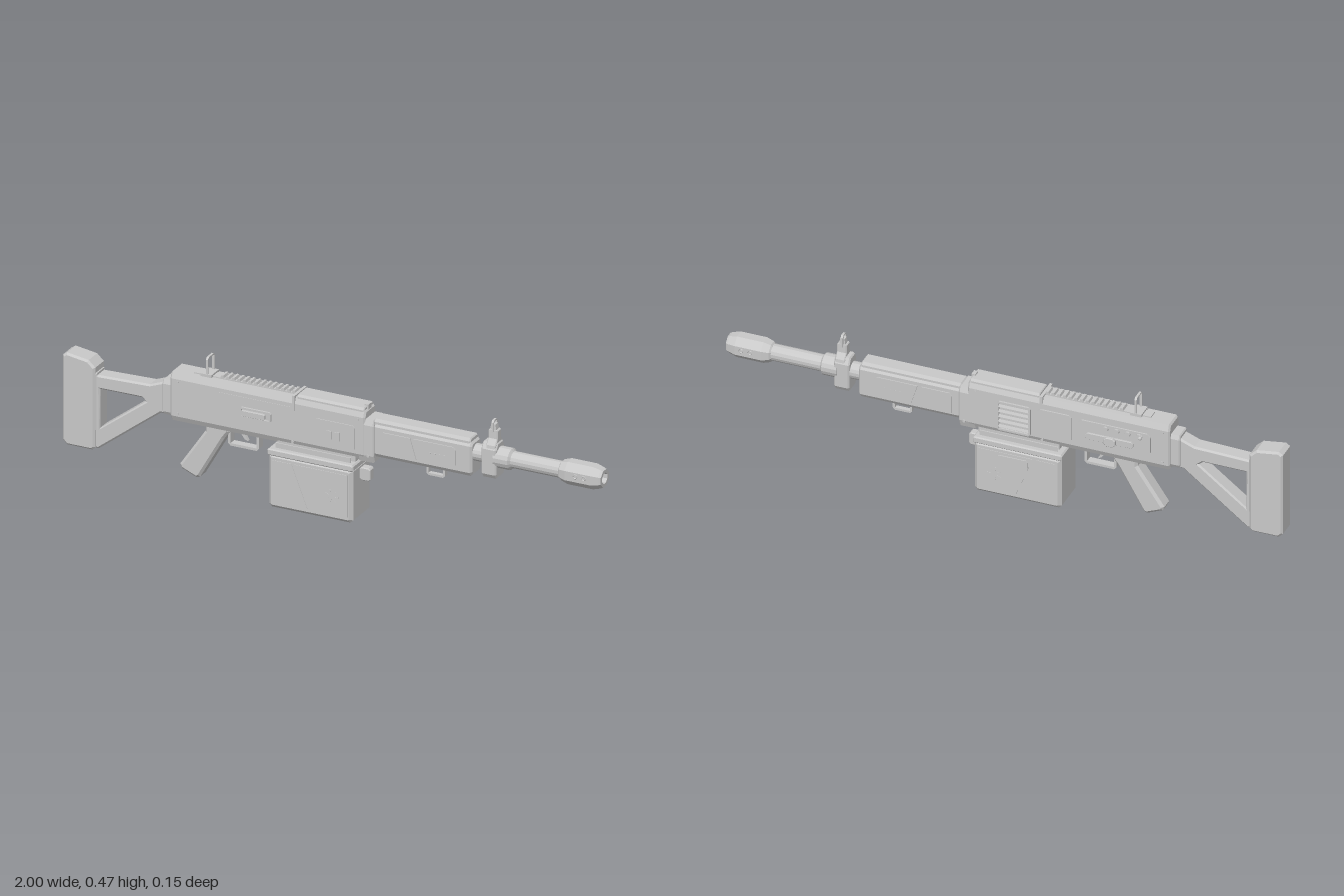
import * as THREE from 'three';

export function createModel() {
  const root = new THREE.Group();
  const grey = new THREE.MeshStandardMaterial({ color: 0xc8c8c8, flatShading: true });
  grey.name = 'plain grey';

  const add = (name, geo, x = 0, y = 0, z = 0) => {
    const m = new THREE.Mesh(geo, grey);
    m.name = name;
    m.position.set(x, y, z);
    root.add(m);
    return m;
  };
  const poly = (pts, T = THREE.Shape) => new T(pts.map(p => new THREE.Vector2(p[0], p[1])));
  // side outline extruded across z, with chamfered rims
  const slab = (name, pts, half, bevel = 0, holes = [], z = 0) => {
    const s = poly(pts);
    holes.forEach(h => s.holes.push(poly(h, THREE.Path)));
    const g = new THREE.ExtrudeGeometry(s, {
      depth: 2 * (half - bevel), bevelEnabled: bevel > 0, bevelThickness: bevel,
      bevelSize: bevel, bevelOffset: -bevel, bevelSegments: 1, curveSegments: 6,
    });
    g.translate(0, 0, -half + bevel);
    return add(name, g, 0, 0, z);
  };
  // symmetric section of [z, y] points extruded along x
  const bar = (name, right, x0, x1, bevel = 0, hole) => {
    const s = poly([...right, ...right.map(p => [-p[0], p[1]]).reverse()]);
    if (hole) s.holes.push(poly(hole, THREE.Path));
    const g = new THREE.ExtrudeGeometry(s, {
      depth: x1 - x0 - 2 * bevel, bevelEnabled: bevel > 0, bevelThickness: bevel,
      bevelSize: bevel, bevelOffset: -bevel, bevelSegments: 1,
    });
    g.rotateY(Math.PI / 2);
    return add(name, g, x0 + bevel, 0, 0);
  };
  const box = (name, x0, x1, y0, y1, z0, z1) =>
    add(name, new THREE.BoxGeometry(x1 - x0, y1 - y0, z1 - z0), (x0 + x1) / 2, (y0 + y1) / 2, (z0 + z1) / 2);
  const rect = (x0, x1, y0, y1, c = 0) => c
    ? [[x0 + c, y0], [x1 - c, y0], [x1, y0 + c], [x1, y1 - c], [x1 - c, y1], [x0 + c, y1], [x0, y1 - c], [x0, y0 + c]]
    : [[x0, y0], [x1, y0], [x1, y1], [x0, y1]];
  const frame = (name, x0, x1, y0, y1, t, half, z = 0) =>
    slab(name, rect(x0, x1, y0, y1, t), half, 0, [rect(x0 + t, x1 - t, y0 + t, y1 - t)], z);
  // turned part along x: [x, radius] points
  const turned = (name, pts, sides) => {
    const g = new THREE.LatheGeometry(pts.map(p => new THREE.Vector2(p[1], p[0])), sides, Math.PI / sides);
    g.rotateZ(-Math.PI / 2);
    return add(name, g, 0, 0.327, 0);
  };
  const knob = (name, x, y, z, r, h) =>
    add(name, new THREE.CylinderGeometry(r, r, h, 10).rotateX(Math.PI / 2), x, y, z);

  // stock: butt pad, triangular brace and neck
  slab('buttPad', [[-1, 0.075], [-0.985, 0.06], [-0.89, 0.06], [-0.88, 0.07], [-0.88, 0.36], [-0.905, 0.383], [-0.985, 0.395], [-1, 0.385]], 0.038, 0.007);
  slab('buttBand', [[-0.91, 0.13], [-0.875, 0.13], [-0.875, 0.34], [-0.91, 0.34]], 0.031, 0.004);
  slab('stockBrace', [[-0.885, 0.066], [-0.87, 0.066], [-0.64, 0.242], [-0.59, 0.248], [-0.59, 0.365], [-0.61, 0.365], [-0.68, 0.338], [-0.885, 0.332]],
    0.029, 0.006, [[[-0.865, 0.283], [-0.865, 0.142], [-0.695, 0.272], [-0.71, 0.284]]]);
  bar('stockCollar', [[0.028, 0.243], [0.035, 0.255], [0.035, 0.355], [0.028, 0.37]], -0.63, -0.59, 0.004);

  // receiver, top cover and front trunnion
  bar('receiver', [[0.033, 0.23], [0.043, 0.25], [0.043, 0.385], [0.034, 0.408]], -0.597, 0.128, 0.006);
  bar('receiverFront', [[0.033, 0.224], [0.042, 0.25], [0.042, 0.36], [0.034, 0.38]], 0.1, 0.16, 0.004);
  bar('topCover', [[0.036, 0.395], [0.036, 0.409], [0.03, 0.417]], -0.128, 0.122, 0.003);
  box('coverCatch', 0.112, 0.126, 0.4, 0.422, -0.012, 0.012);
  box('coverHinge', -0.142, -0.132, 0.36, 0.414, -0.045, 0.045);

  // toothed rail
  box('railBase', -0.52, -0.14, 0.4, 0.412, -0.018, 0.018);
  for (let i = 0; i < 14; i++) {
    const x = -0.415 + i * 0.0205;
    slab('railTooth', [[x - 0.007, 0.411], [x + 0.007, 0.411], [x + 0.004, 0.421], [x - 0.004, 0.421]], 0.018);
  }

  // rear sight loop
  const loop = (name, x, hw, y0, y1, t) => {
    const c = t * 1.6;
    bar(name, [[hw, y0], [hw, y1 - c], [hw - c, y1]], x - 0.004, x + 0.004, 0,
      [[-hw + t, y0 + t], [-hw + t, y1 - c], [-hw + c, y1 - t], [hw - c, y1 - t], [hw - t, y1 - c], [hw - t, y0 + t]]);
  };
  loop('rearSight', -0.468, 0.026, 0.405, 0.478, 0.005);
  box('rearSightBase', -0.49, -0.45, 0.4, 0.418, -0.028, 0.028);

  // handguard with chamfered shell, cap and slanted side plates
  bar('handguard', [[0.027, 0.248], [0.037, 0.262], [0.037, 0.358], [0.028, 0.37]], 0.155, 0.522, 0.007);
  bar('handguardTop', [[0.031, 0.362], [0.031, 0.374], [0.024, 0.384]], 0.155, 0.515, 0.004);
  frame('handguardLug', 0.34, 0.41, 0.21, 0.252, 0.008, 0.008);
  for (const s of [1, -1]) {
    const z = s * 0.038;
    slab('sidePanelRear', [[0.185, 0.27], [0.318, 0.27], [0.295, 0.345], [0.195, 0.345], [0.185, 0.335]], 0.0025, 0, [], z);
    slab('sidePanelFront', [[0.332, 0.27], [0.455, 0.27], [0.465, 0.28], [0.465, 0.335], [0.455, 0.345], [0.309, 0.345]], 0.0025, 0, [], z);
    for (let i = 0; i < 4; i++) knob('panelStud', 0.37 + i * 0.018, 0.307, s * 0.041, 0.004, 0.003);
  }

  // barrel and hollow muzzle device
  turned('barrel', [[0.5, 0.03], [0.6, 0.03], [0.6, 0.038], [0.655, 0.038], [0.662, 0.029], [0.85, 0.029]], 16);
  turned('muzzle', [[0.838, 0.028], [0.845, 0.036], [0.87, 0.044], [0.965, 0.044], [0.992, 0.036], [1, 0.032],
    [1, 0.02], [0.95, 0.018], [0.95, 0]], 8);
  for (const s of [1, -1]) for (const x of [0.91, 0.942]) {
    add('muzzlePort', new THREE.TorusGeometry(0.007, 0.002, 4, 8), x, 0.33, s * 0.041);
  }

  // front sight block, tapering tower and hood
  bar('sightBlock', [[0.024, 0.255], [0.034, 0.27], [0.034, 0.36], [0.02, 0.383]], 0.556, 0.612, 0.005);
  bar('sightTower', [[0.033, 0.355], [0.03, 0.375], [0.015, 0.395], [0.014, 0.425]], 0.573, 0.608, 0.003);
  slab('sightGusset', [[0.573, 0.38], [0.608, 0.38], [0.598, 0.445], [0.582, 0.445]], 0.01);
  loop('frontSightHood', 0.59, 0.016, 0.415, 0.46, 0.005);
  add('frontSightPin', new THREE.CylinderGeometry(0.001, 0.003, 0.03, 6), 0.59, 0.435, 0);

  // pistol grip, trigger and guard
  slab('grip', [[-0.475, 0.24], [-0.385, 0.24], [-0.385, 0.222], [-0.405, 0.195], [-0.495, 0.038], [-0.508, 0.032], [-0.565, 0.056], [-0.57, 0.07], [-0.475, 0.21]], 0.029, 0.009);
  frame('triggerGuard', -0.395, -0.28, 0.17, 0.245, 0.009, 0.014);
  slab('trigger', [[-0.352, 0.235], [-0.336, 0.235], [-0.336, 0.215], [-0.325, 0.195], [-0.338, 0.2], [-0.35, 0.218]], 0.006);

  // box magazine with lid, hangers and front latch
  slab('magazine', rect(-0.218, 0.094, 0.003, 0.2, 0.01), 0.071, 0.012);
  slab('magazineLid', rect(-0.222, 0.098, 0.192, 0.216, 0.005), 0.071, 0.004);
  box('magazineNeck', -0.2, 0.09, 0.21, 0.24, -0.036, 0.036);
  for (const s of [1, -1]) {
    box('magazineHanger', -0.2, 0.08, 0.214, 0.234, s * 0.05 - 0.002, s * 0.05 + 0.002);
    slab('magazinePlateRear', [[-0.2, 0.025], [-0.07, 0.025], [-0.13, 0.178], [-0.2, 0.178]], 0.0015, 0, [], s * 0.0715);
    slab('magazinePlateFront', [[-0.058, 0.025], [0.078, 0.025], [0.078, 0.178], [-0.118, 0.178]], 0.0015, 0, [], s * 0.0715);
    // small radiating nicks on the plate
    for (let i = 0; i < 7; i++) {
      const a = i * Math.PI * 2 / 7;
      const nick = add('plateNick', new THREE.BoxGeometry(0.014, 0.003, 0.002), 0.02 + 0.018 * Math.cos(a), 0.09 + 0.018 * Math.sin(a), s * 0.0735);
      nick.rotation.z = a;
    }
  }
  slab('magazineLatch', rect(0.094, 0.134, 0.143, 0.19, 0.006), 0.015, 0.003);
  slab('magazineSideCatch', rect(-0.1, 0.01, 0.135, 0.168, 0.006), 0.003, 0, [], -0.0735);

  // left face: bolt slot, square panel and seam
  slab('ejectionPlate', rect(-0.058, 0.092, 0.258, 0.35, 0.008), 0.002, 0, [], 0.044);
  box('plateSlotA', -0.012, 0.006, 0.285, 0.315, 0.045, 0.049);
  box('plateSlotB', 0.018, 0.036, 0.285, 0.315, 0.045, 0.049);
  frame('boltSlot', -0.335, -0.218, 0.298, 0.336, 0.006, 0.005, 0.045);
  slab('boltBar', rect(-0.328, -0.24, 0.306, 0.326, 0.003), 0.005, 0.001, [], 0.049);
  box('upperSeam', -0.42, -0.15, 0.367, 0.371, 0.042, 0.0445);

  // right face: slatted vent, panel, selector and buttons
  frame('ventFrame', -0.1, 0.02, 0.25, 0.362, 0.007, 0.004, -0.046);
  for (let i = 0; i < 5; i++) {
    const slat = add('ventSlat', new THREE.BoxGeometry(0.108, 0.01, 0.006), -0.04, 0.267 + i * 0.0195, -0.046);
    slat.rotation.x = 0.4;
  }
  slab('rightPanel', rect(-0.245, -0.125, 0.262, 0.365, 0.008), 0.003, 0, [], -0.045);
  slab('controlPlate', rect(-0.53, -0.27, 0.277, 0.36, 0.012), 0.003, 0, [], -0.045);
  slab('selectorBar', rect(-0.47, -0.3, 0.295, 0.318, 0.006), 0.004, 0.001, [], -0.051);
  slab('selectorTab', rect(-0.41, -0.37, 0.29, 0.323, 0.008), 0.007, 0.002, [], -0.06);
  for (let i = 0; i < 4; i++) knob('button', -0.49 + i * 0.04, 0.346, -0.051, 0.01, 0.009);
  knob('pullPin', -0.5, 0.35, -0.058, 0.004, 0.016);
  add('pullKnob', new THREE.SphereGeometry(0.007, 8, 6), -0.5, 0.35, -0.065);

  // small rivets on both faces
  for (const s of [1, -1]) for (const [x, y] of [[-0.57, 0.26], [-0.57, 0.375], [-0.14, 0.245], [0.1, 0.375], [0.14, 0.25]]) {
    knob('rivet', x, y, s * 0.0432, 0.005, 0.003);
  }
  return root;
}
